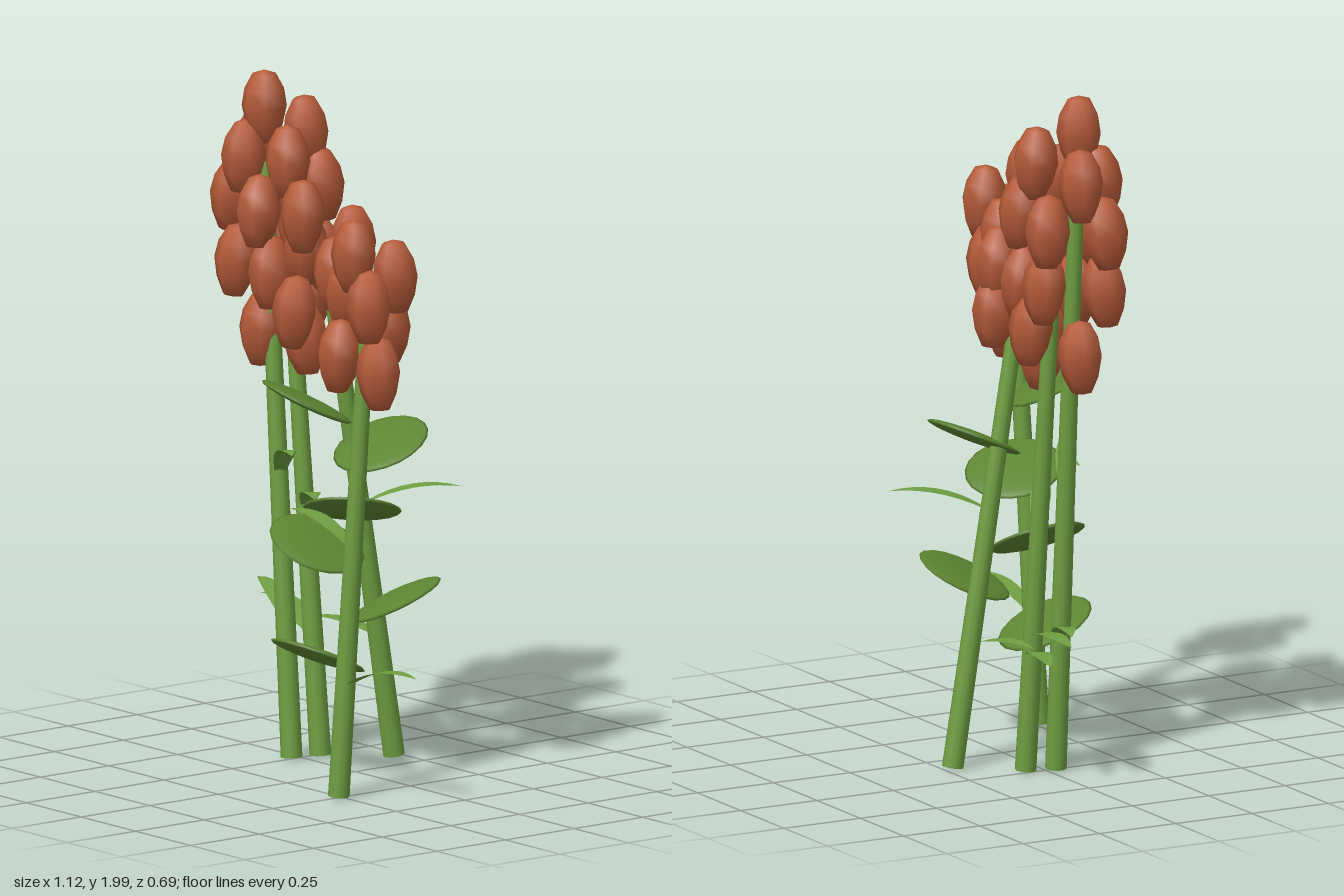
import * as THREE from 'three';

const V = (p) => new THREE.Vector3(...p);
const UP = new THREE.Vector3(0, 1, 0);

const mat = (name, color, side = THREE.FrontSide) => {
  const m = new THREE.MeshStandardMaterial({ color, side });
  m.name = name;
  return m;
};

// Narrow pointed blade arching from root to tip
function bladeGeometry(root, tip, width = 0.03) {
  const a = V(root), b = V(tip);
  const mid = a.clone().lerp(b, 0.5);
  mid.y = Math.max(a.y, b.y) + 0.03;
  const curve = new THREE.QuadraticBezierCurve3(a, mid, b);
  const across = b.clone().sub(a).cross(UP).normalize();
  const pos = [], index = [], n = 8;
  for (let i = 0; i <= n; i++) {
    const t = i / n, p = curve.getPoint(t);
    const w = width * Math.pow(Math.sin(Math.PI * (0.1 + 0.9 * t)), 0.8);
    for (const s of [-1, 1]) pos.push(...p.clone().addScaledVector(across, s * w).toArray());
    if (i < n) {
      const k = 2 * i;
      index.push(k, k + 1, k + 2, k + 1, k + 3, k + 2);
    }
  }
  const g = new THREE.BufferGeometry();
  g.setAttribute('position', new THREE.Float32BufferAttribute(pos, 3));
  g.setIndex(index);
  g.computeVertexNormals();
  return g;
}

export function createModel() {
  const root = new THREE.Group();
  const stemGreen = mat('stem green', 0x6f9f42);
  const leafGreen = mat('leaf green', 0x5d8532);
  const bladeGreen = mat('blade green', 0x6f9f42, THREE.DoubleSide);
  const budRust = mat('bud rust', 0xb45a38);

  const add = (name, geometry, material, parent = root) => {
    const m = new THREE.Mesh(geometry, material);
    m.name = name;
    parent.add(m);
    return m;
  };

  // Leaning stems: base, top
  const stems = [
    [[-0.255, 0.01, 0.03], [-0.375, 1.72, 0.03]],
    [[-0.23, 0.01, -0.055], [-0.325, 1.45, -0.02]],
    [[-0.1, 0.01, -0.22], [-0.115, 1.48, 0.01]],
    [[0.25, 0.01, 0.26], [0.33, 1.48, 0.215]],
  ];
  for (const [a, b] of stems) {
    const d = V(b).sub(V(a));
    const stem = add('stem', new THREE.CylinderGeometry(0.022, 0.031, d.length(), 10), stemGreen);
    stem.position.copy(V(a)).addScaledVector(d, 0.5);
    stem.quaternion.setFromUnitVectors(UP, d.normalize());
  }

  // Round leaves: centre, slope along x, slope along z
  const discs = [
    [[-0.06, 1.09, 0.13], -0.2, 0.45],
    [[-0.01, 0.945, -0.1], -0.06, -0.47],
    [[0.11, 0.803, 0.1], 0.32, 0.32],
    [[-0.12, 0.655, 0.045], -0.52, 0.03],
    [[0.097, 0.513, -0.07], 0.3, -0.36],
    [[0.01, 0.365, 0.145], 0.02, 0.46],
  ];
  const discGeo = new THREE.SphereGeometry(0.142, 20, 10).scale(1, 0.11, 1);
  for (const [c, sx, sz] of discs) {
    const leaf = add('roundLeaf', discGeo, leafGreen);
    leaf.position.set(...c);
    leaf.quaternion.setFromUnitVectors(UP, new THREE.Vector3(-sx, 1, -sz).normalize());
  }

  // Slender blades: root, tip
  const blades = [
    [[0.27, 0.33, 0.25], [0.555, 0.395, 0.22]],
    [[0.28, 0.74, 0.24], [0.02, 0.81, 0.265]],
    [[-0.28, 0.39, 0.02], [-0.56, 0.47, -0.09]],
    [[-0.25, 0.35, -0.05], [-0.525, 0.38, -0.14]],
    [[-0.26, 0.41, -0.045], [-0.53, 0.43, -0.075]],
    [[-0.31, 0.82, 0.03], [-0.09, 0.93, 0.16]],
    [[-0.275, 0.72, -0.04], [-0.06, 0.8, 0.1]],
    [[-0.1, 0.76, -0.12], [0.055, 0.8, -0.345]],
    [[-0.1, 0.36, -0.17], [-0.34, 0.39, -0.09]],
  ];
  for (const [a, b] of blades) add('bladeLeaf', bladeGeometry(a, b), bladeGreen);

  // Faceted buds, gathered into flower heads
  const profile = [[0, -0.108], [0.03, -0.104], [0.054, -0.055], [0.066, 0], [0.058, 0.05], [0.034, 0.095], [0, 0.106]];
  const budGeo = new THREE.LatheGeometry(profile.map((p) => new THREE.Vector2(...p)), 7);
  const heads = {
    tallFlowerHead: [
      [-0.355, 1.893, 0.05], [-0.32, 1.81, -0.075], [-0.28, 1.74, 0.025], [-0.385, 1.75, 0.1],
      [-0.455, 1.76, 0], [-0.48, 1.62, 0.065], [-0.32, 1.6, 0.1], [-0.42, 1.63, -0.09],
      [-0.28, 1.66, -0.1], [-0.43, 1.44, 0.09], [-0.3, 1.42, 0.07], [-0.38, 1.24, 0.04],
      [-0.24, 1.23, -0.01], [-0.4, 1.46, -0.09], [-0.29, 1.46, -0.1], [-0.34, 1.33, -0.1],
      [-0.25, 1.55, 0],
    ],
    middleFlowerHead: [
      [-0.11, 1.62, 0.105], [-0.045, 1.54, -0.03], [-0.03, 1.46, 0.05], [-0.13, 1.48, -0.09],
      [-0.2, 1.5, 0.025], [-0.165, 1.33, 0.09], [-0.03, 1.28, -0.005], [-0.13, 1.34, -0.1],
    ],
    sideFlowerHead: [
      [0.335, 1.6, 0.275], [0.365, 1.53, 0.145], [0.235, 1.47, 0.22], [0.395, 1.46, 0.265],
      [0.27, 1.3, 0.275], [0.39, 1.26, 0.225], [0.31, 1.37, 0.13],
    ],
  };
  for (const [name, buds] of Object.entries(heads)) {
    const head = new THREE.Group();
    head.name = name;
    root.add(head);
    const cx = buds.reduce((s, b) => s + b[0], 0) / buds.length;
    const cz = buds.reduce((s, b) => s + b[2], 0) / buds.length;
    buds.forEach((p, i) => {
      const bud = add('bud', budGeo, budRust, head);
      bud.position.set(...p);
      // Buds lean slightly outwards
      const lean = i ? -0.8 : 0;
      const dir = new THREE.Vector3((p[0] - cx) * lean, 1, (p[2] - cz) * lean).normalize();
      bud.quaternion.setFromUnitVectors(UP, dir);
      bud.rotateY(i * 1.3);
    });
  }
  return root;
}
